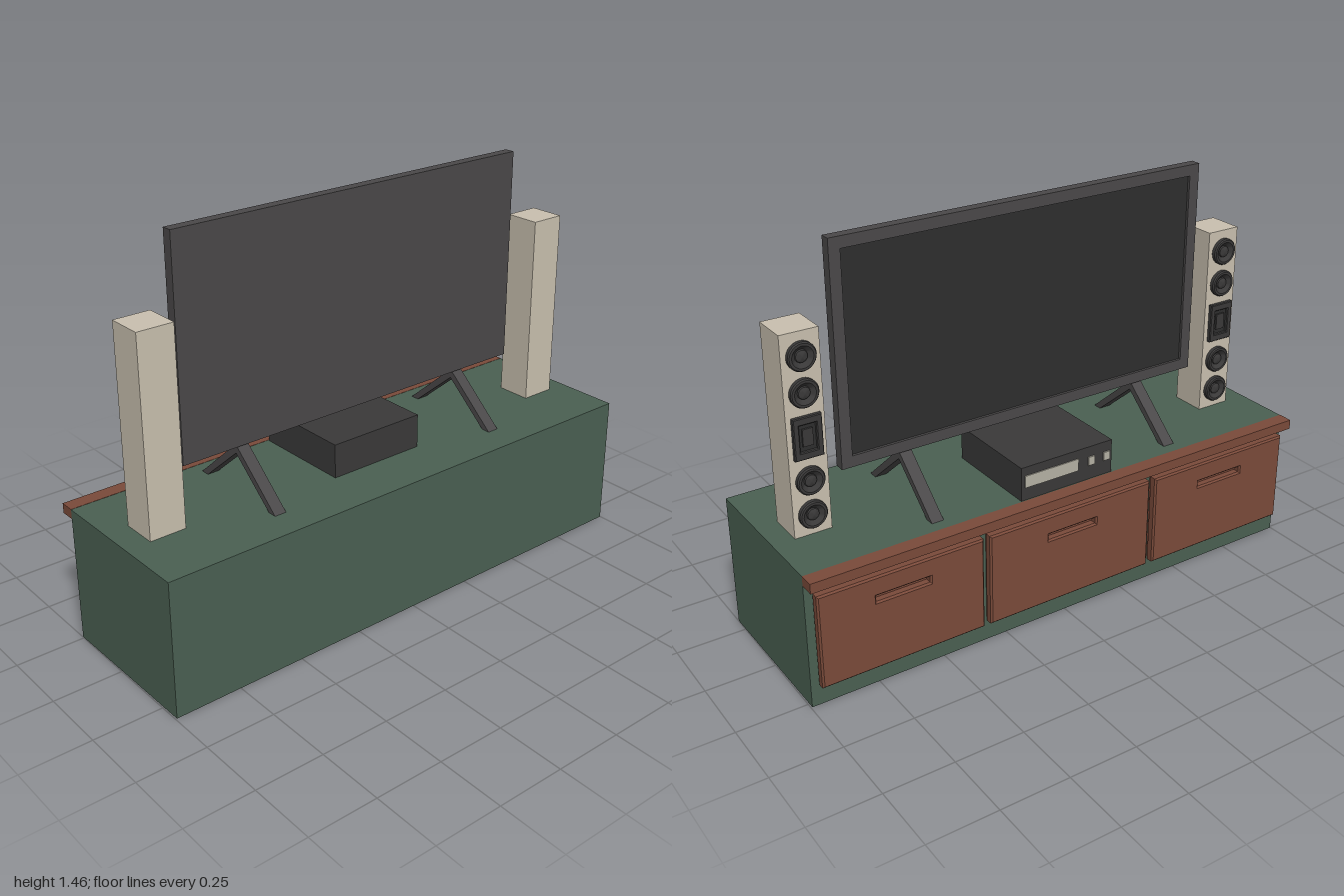
import * as THREE from 'three';
import { toCreasedNormals } from 'three/addons/utils/BufferGeometryUtils.js';

const mat = (color) => new THREE.MeshStandardMaterial({ color });
const GREEN = mat(0x4a6052), RED = mat(0x7a4a3a), CREAM = mat(0xc9c0af);
const DARK = mat(0x3a3939), GREY = mat(0x4a4849), BLACK = mat(0x2e2e2e), LIGHT = mat(0xb5b1a4);

function add(parent, name, geo, material) {
  const mesh = new THREE.Mesh(geo, material);
  mesh.name = name;
  parent.add(mesh);
  return mesh;
}

// Box given by its limits on each axis
function box(parent, name, material, x0, x1, y0, y1, z0, z1) {
  const geo = new THREE.BoxGeometry(x1 - x0, y1 - y0, z1 - z0);
  geo.translate((x0 + x1) / 2, (y0 + y1) / 2, (z0 + z1) / 2);
  return add(parent, name, geo, material);
}

function rect(target, cx, cy, w, h) {
  const x = w / 2, y = h / 2;
  target.moveTo(cx - x, cy - y);
  target.lineTo(cx + x, cy - y);
  target.lineTo(cx + x, cy + y);
  target.lineTo(cx - x, cy + y);
  target.closePath();
  return target;
}

// Rectangular plate with a rectangular hole, extruded from z0 to z1
function holedPlate(w, h, hole, z0, z1, bevel = 0) {
  const shape = rect(new THREE.Shape(), 0, 0, w - 2 * bevel, h - 2 * bevel);
  shape.holes.push(rect(new THREE.Path(), ...hole));
  const geo = new THREE.ExtrudeGeometry(shape, {
    depth: z1 - z0 - 2 * bevel, bevelEnabled: bevel > 0,
    bevelSize: bevel, bevelThickness: bevel, bevelSegments: 1,
  });
  return geo.translate(0, 0, z0 + bevel);
}

function makeCabinet() {
  const g = new THREE.Group();
  g.name = 'cabinet';
  box(g, 'cabinetBody', GREEN, -0.997, 0.997, 0, 0.495, -0.264, 0.318);
  box(g, 'topTrim', RED, -0.997, 0.997, 0.46, 0.496, -0.319, -0.264);
  // Three drawers with slot handles
  for (const [x, w] of [[-0.667, 0.61], [0, 0.675], [0.667, 0.61]]) {
    const drawer = new THREE.Group();
    drawer.name = 'drawer';
    drawer.position.set(x, 0.2575, 0);
    add(drawer, 'drawerFront', holedPlate(w, 0.345, [0, 0.09, 0.21, 0.034], -0.304, -0.27, 0.006), RED);
    box(drawer, 'drawerBack', RED, -w / 2 + 0.006, w / 2 - 0.006, -0.166, 0.166, -0.276, -0.262);
    g.add(drawer);
  }
  return g;
}

function makeTelevision() {
  const g = new THREE.Group();
  g.name = 'television';
  g.position.set(-0.0025, 0, -0.008);
  box(g, 'televisionBack', GREY, -0.7275, 0.7275, 0.675, 1.46, -0.006, 0.019);
  const bezel = add(g, 'bezel', holedPlate(1.455, 0.785, [0, 0, 1.375, 0.705], -0.019, -0.006), GREY);
  bezel.position.y = 1.0675;
  box(g, 'screen', BLACK, -0.69, 0.69, 0.713, 1.422, -0.009, -0.0055);
  // Chevron legs
  const chevron = new THREE.Shape();
  [[-0.209, 0.495], [-0.175, 0.495], [0, 0.644], [0.175, 0.495], [0.209, 0.495], [0, 0.677]]
    .forEach(([z, y], i) => (i ? chevron.lineTo(z, y) : chevron.moveTo(z, y)));
  const legGeo = new THREE.ExtrudeGeometry(chevron, { depth: 0.045, bevelEnabled: false });
  legGeo.translate(0, 0, -0.0225).rotateY(Math.PI / 2);
  for (const side of [-1, 1]) add(g, 'leg', legGeo, GREY).position.x = side * 0.4875;
  return g;
}

function makeSpeaker(x) {
  const g = new THREE.Group();
  g.name = 'speaker';
  g.position.set(x, 0, 0.013);
  box(g, 'speakerCase', CREAM, -0.0665, 0.0665, 0.495, 1.2, -0.0665, 0.0665);
  // Round drivers: rim, sunken cone and centre dome
  const profile = [[0.049, 0], [0.049, 0.013], [0.045, 0.018], [0.037, 0.018],
    [0.022, 0.005], [0.02, 0.01], [0.012, 0.014], [0, 0.015]];
  let driver = new THREE.LatheGeometry(profile.map((p) => new THREE.Vector2(...p)), 28);
  driver = toCreasedNormals(driver.rotateX(-Math.PI / 2), 0.5);
  for (const y of [0.57, 0.692, 0.997, 1.12]) add(g, 'driver', driver, DARK).position.set(0, y, -0.0665);
  // Square tweeter
  const frame = add(g, 'tweeterFrame', holedPlate(0.1, 0.146, [0, 0, 0.066, 0.1], -0.084, -0.066, 0.003), DARK);
  frame.position.y = 0.847;
  box(g, 'tweeterPanel', BLACK, -0.036, 0.036, 0.794, 0.9, -0.072, -0.066);
  box(g, 'tweeterHorn', DARK, -0.018, 0.018, 0.817, 0.877, -0.079, -0.07);
  return g;
}

function makeMediaPlayer() {
  const g = new THREE.Group();
  g.name = 'mediaPlayer';
  g.position.set(-0.005, 0, -0.07);
  box(g, 'playerCase', DARK, -0.189, 0.189, 0.495, 0.62, -0.189, 0.189);
  box(g, 'display', LIGHT, -0.045, 0.175, 0.543, 0.588, -0.193, -0.185);
  for (const x of [-0.1, -0.165]) box(g, 'button', LIGHT, x - 0.013, x + 0.013, 0.55, 0.582, -0.195, -0.185);
  return g;
}

export function createModel() {
  const model = new THREE.Group();
  model.name = 'mediaCabinet';
  model.add(makeCabinet(), makeTelevision(), makeSpeaker(-0.8425), makeSpeaker(0.8525), makeMediaPlayer());
  // The whole set stands turned by a hair
  model.rotation.y = 0.007;
  return model;
}
